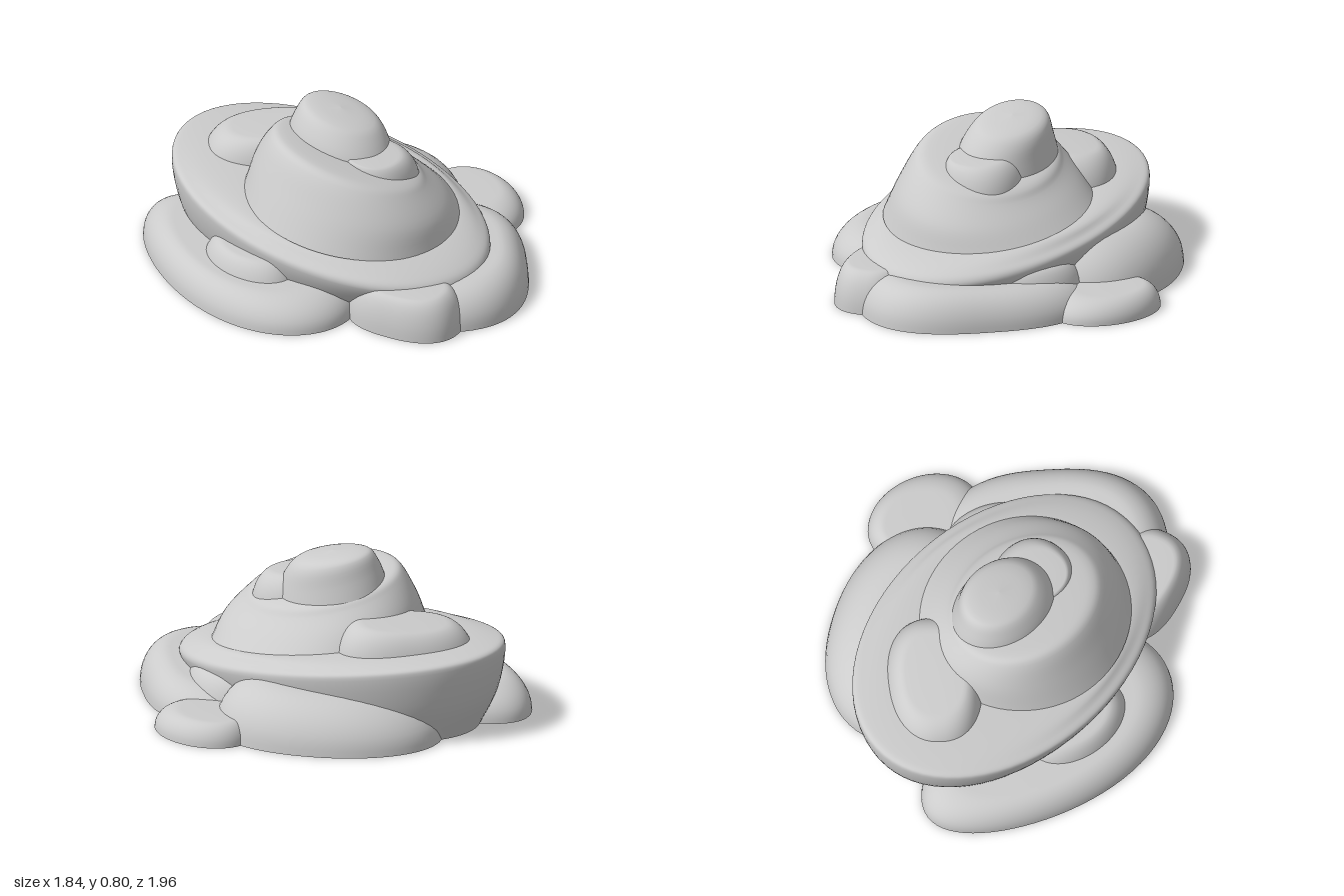
import * as THREE from 'three';

const SIDES = 72;
const material = new THREE.MeshStandardMaterial({ color: 0xcccccc, side: THREE.DoubleSide });

// Skin a stack of rings (bottom to top); every column is smoothed by a spline and ends in the apex.
function loft(name, rings, apex, steps) {
  const positions = [], index = [];
  for (let i = 0; i < SIDES; i++) {
    const column = new THREE.CatmullRomCurve3([...rings.map((r) => r[i]), apex]);
    for (const p of column.getPoints(steps)) positions.push(p.x, Math.max(p.y, 0), p.z);
  }
  const row = steps + 1;
  for (let i = 0; i < SIDES; i++) {
    const a = i * row, b = ((i + 1) % SIDES) * row;
    for (let j = 0; j < steps; j++) {
      index.push(a + j, a + j + 1, b + j);
      if (j < steps - 1) index.push(b + j, a + j + 1, b + j + 1);
    }
  }
  const geometry = new THREE.BufferGeometry();
  geometry.setAttribute('position', new THREE.Float32BufferAttribute(positions, 3));
  geometry.setIndex(index);
  geometry.computeVertexNormals();
  const mesh = new THREE.Mesh(geometry, material);
  mesh.name = name;
  return mesh;
}

const angles = Array.from({ length: SIDES }, (_, i) => (i / SIDES) * Math.PI * 2);

// Tilted ellipse: centre, radii and the slope of y along z and x.
function ellipse([cx, y, cz, rx, rz, slopeZ = 0, slopeX = 0]) {
  return angles.map((a) => {
    const dx = rx * Math.cos(a), dz = rz * Math.sin(a);
    return new THREE.Vector3(cx + dx, y + slopeZ * dz + slopeX * dx, cz + dz);
  });
}

function tier(name, rings, apex) {
  return loft(name, rings.map(ellipse), new THREE.Vector3(...apex), rings.length * 5);
}

// Rounded rock on a turned superellipse; inset sets how far the shoulder rounds inward,
// power how square the outline is, taper widens one end, lean shifts the top.
function rock(name, x, z, {
  length, width, turn = 0, height, inset, base = 0, power = 2, taper = 0, slopeZ = 0, leanX = 0, leanZ = 0,
}) {
  const soften = (v) => Math.sign(v) * Math.abs(v) ** (2 / power);
  const outline = angles.map((a) => {
    const u = soften(Math.cos(a));
    const v = soften(Math.sin(a)) * width * (1 + taper * u);
    return {
      dx: u * length * Math.cos(turn) - v * Math.sin(turn),
      dz: u * length * Math.sin(turn) + v * Math.cos(turn),
    };
  });
  const rings = [];
  for (let k = 0; k <= 6; k++) {
    const t = (k / 6) * Math.PI / 2;
    const shrink = 1 - Math.cos(t);
    const scale = 1 - inset * shrink;
    rings.push(outline.map(({ dx, dz }) => new THREE.Vector3(
      x + dx * scale + leanX * shrink,
      base + height * Math.sin(t) * (1 + slopeZ * dz * scale),
      z + dz * scale + leanZ * shrink,
    )));
  }
  return loft(name, rings, new THREE.Vector3(x + leanX, base + height * 1.01, z + leanZ), 14);
}

export function createModel() {
  const group = new THREE.Group();
  group.name = 'stackedRocks';

  // wide tilted shelf, open underneath
  group.add(tier('shelf', [
    [-0.05, 0, -0.17, 0.48, 0.72],
    [-0.065, 0.13, -0.14, 0.56, 0.83, -0.06],
    [-0.07, 0.275, -0.12, 0.6, 0.88, -0.125],
    [-0.07, 0.305, -0.12, 0.595, 0.87, -0.125],
    [-0.07, 0.325, -0.11, 0.56, 0.82, -0.12],
    [-0.07, 0.345, 0, 0.5, 0.55, -0.12],
  ], [-0.07, 0.35, 0]));

  // leaning middle mound
  group.add(tier('middleMound', [
    [-0.07, 0.33, 0.02, 0.51, 0.54, -0.11, -0.03],
    [-0.08, 0.46, 0.02, 0.42, 0.5, -0.12, -0.12],
    [-0.085, 0.57, 0.005, 0.34, 0.415, -0.13, -0.24],
    [-0.085, 0.6, 0, 0.31, 0.38, -0.14, -0.24],
    [-0.08, 0.615, -0.02, 0.26, 0.31, -0.14, -0.24],
  ], [-0.05, 0.62, -0.04]));

  // crowning knob
  group.add(tier('topKnob', [
    [-0.03, 0.55, -0.08, 0.235, 0.3, -0.13, -0.3],
    [-0.03, 0.655, -0.075, 0.205, 0.265, -0.2, -0.2],
    [-0.02, 0.74, -0.085, 0.17, 0.215, -0.22, -0.12],
    [-0.02, 0.767, -0.09, 0.135, 0.17, -0.19, -0.09],
  ], [-0.02, 0.785, -0.1]));

  // rocks around the foot
  group.add(
    rock('rightLongRock', -0.49, -0.3, { length: 0.7, width: 0.395, turn: 1.78, height: 0.155, inset: 0.3, taper: 0.18 }),
    rock('rightInnerRock', -0.59, -0.18, { length: 0.3, width: 0.2, turn: 1.74, height: 0.24, inset: 0.45 }),
    rock('frontRightRock', -0.33, 0.59, { length: 0.29, width: 0.2, turn: 1.35, height: 0.2, inset: 0.35, power: 2.4 }),
    rock('frontLongRock', 0.08, 0.4, {
      length: 0.57, width: 0.465, turn: -0.78, height: 0.16, inset: 0.32, power: 2.6, slopeZ: 0.5,
    }),
    rock('frontInnerRock', 0.29, 0.27, { length: 0.31, width: 0.24, turn: -0.9, height: 0.215, inset: 0.4 }),
    rock('leftLargeRock', 0.33, -0.34, {
      length: 0.56, width: 0.4, turn: 1.16, height: 0.26, inset: 0.6, power: 2.1, slopeZ: 0.2, leanZ: 0.05,
    }),
    rock('leftSmallRock', 0.685, 0.15, {
      length: 0.29, width: 0.22, turn: 1.95, height: 0.11, inset: 0.4, leanZ: -0.04,
    }),
  );

  // pebbles resting on the upper tiers
  group.add(
    rock('backPebble', 0, -0.55, {
      length: 0.345, width: 0.24, turn: 0.75, base: 0.3, height: 0.215, inset: 0.42, power: 2.3, slopeZ: 0.3,
    }),
    rock('frontPebble', -0.025, 0.14, {
      length: 0.2, width: 0.205, base: 0.44, height: 0.2, inset: 0.38, power: 2.2, slopeZ: -0.4, leanX: -0.04,
    }),
  );
  return group;
}
